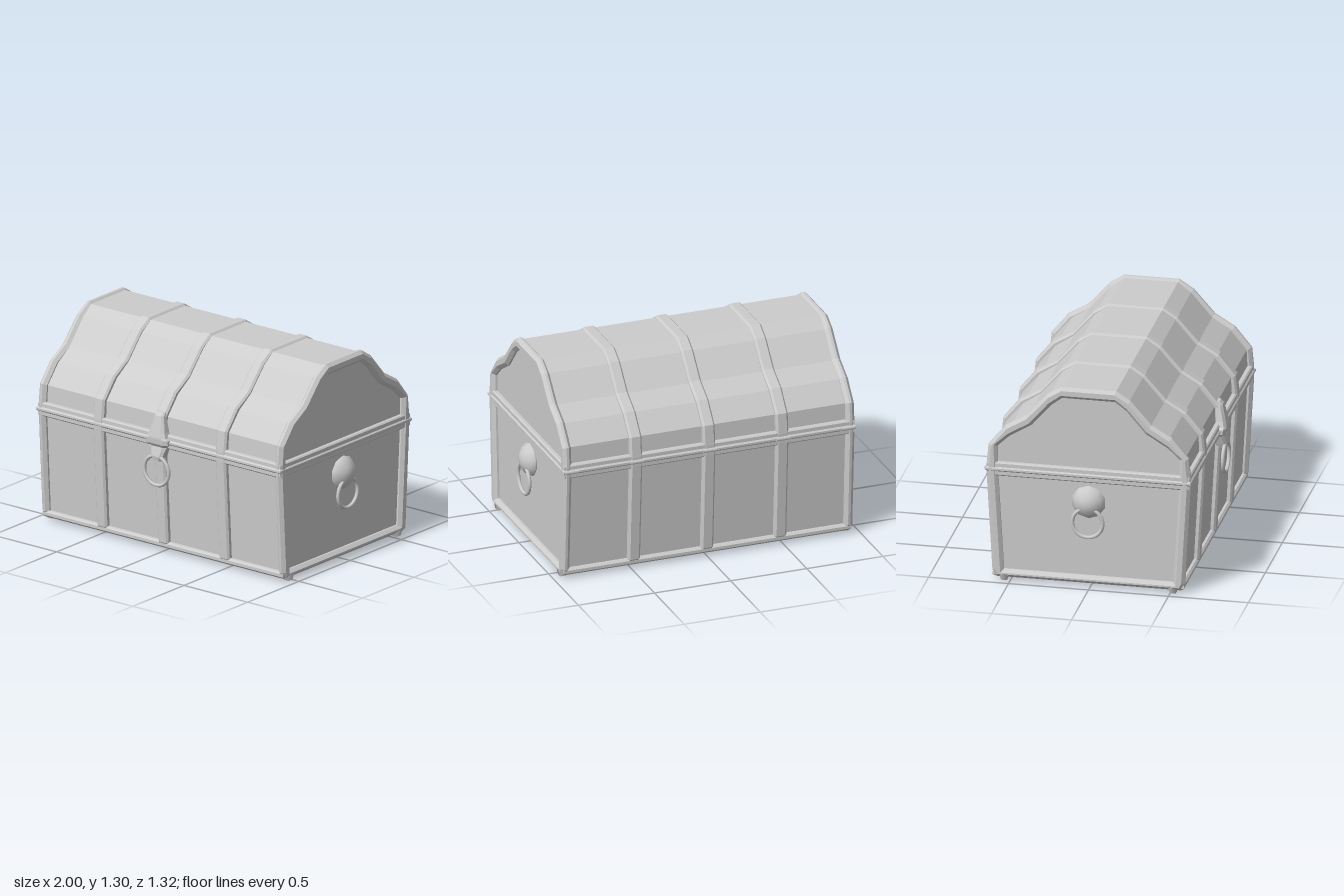
import * as THREE from 'three';

const ZC = -0.0125; // the body sits slightly behind the origin to leave room for the clasp

// Half profiles as [half depth, height], bottom to top
const BAND = [[0.58, 0.02], [0.602, 0.06], [0.638, 0.7], [0.638, 0.76], [0.625, 0.89],
  [0.52, 1.018], [0.395, 1.093], [0.262, 1.243], [0.172, 1.3]];
const OPENING = [[0.53, 0.07], [0.567, 0.7], [0.57, 0.88], [0.495, 0.95], [0.355, 1.035],
  [0.235, 1.175], [0.165, 1.228]];
const CORE = [[0.55, 0.026], [0.57, 0.06], [0.605, 0.7], [0.603, 0.78], [0.598, 0.88],
  [0.497, 1.0], [0.383, 1.077], [0.25, 1.23], [0.167, 1.288]];

const mirrorProfile = (half) => [
  ...half.map(([z, y]) => new THREE.Vector2(z, y)),
  ...half.map(([z, y]) => new THREE.Vector2(-z, y)).reverse(),
];

// Slice of the chest along x with chamfered edges
function slice(outer, width, bevel, hole) {
  const shape = new THREE.Shape(mirrorProfile(outer));
  if (hole) shape.holes.push(new THREE.Path(mirrorProfile(hole)));
  const g = new THREE.ExtrudeGeometry(shape, {
    depth: width - 2 * bevel, bevelEnabled: bevel > 0, bevelSegments: 1,
    bevelSize: bevel, bevelThickness: bevel, bevelOffset: -bevel,
  });
  g.translate(0, 0, bevel - width / 2);
  g.rotateY(Math.PI / 2);
  return g.translate(0, 0, ZC);
}

// Horizontal slab with chamfered upper and lower edges
function slab(hx, hz, y0, y1, bevel) {
  const shape = new THREE.Shape([[-hx, -hz], [hx, -hz], [hx, hz], [-hx, hz]]
    .map(([x, z]) => new THREE.Vector2(x, z)));
  const g = new THREE.ExtrudeGeometry(shape, {
    depth: y1 - y0 - 2 * bevel, bevelEnabled: true, bevelSegments: 1,
    bevelSize: bevel, bevelThickness: bevel, bevelOffset: -bevel,
  });
  g.rotateX(-Math.PI / 2);
  return g.translate(0, y0 + bevel, ZC);
}

// Clasp plate lofted from sections [height, half width, front z]
function claspGeometry() {
  const back = 0.595;
  const rows = [[0.91, 0.033, 0.612], [0.89, 0.036, 0.632], [0.79, 0.058, 0.654],
    [0.757, 0.07, 0.661], [0.745, 0.087, 0.661], [0.715, 0.087, 0.658], [0.695, 0.066, 0.644],
    [0.635, 0.045, 0.66], [0.605, 0.032, 0.655]]
    .map(([y, w, z]) => [[-w, y, back], [-w, y, z - 0.014], [-w * 0.65, y, z],
      [w * 0.65, y, z], [w, y, z - 0.014], [w, y, back]]);
  const pos = [];
  const quad = (a, b, c, d) => pos.push(...a, ...b, ...c, ...a, ...c, ...d);
  for (let i = 0; i < rows.length - 1; i++) {
    for (let j = 0; j < 6; j++) {
      const k = (j + 1) % 6;
      quad(rows[i][j], rows[i + 1][j], rows[i + 1][k], rows[i][k]);
    }
  }
  const [top, end] = [rows[0], rows[rows.length - 1]];
  for (let j = 1; j < 5; j++) {
    pos.push(...top[0], ...top[j], ...top[j + 1]);
    pos.push(...end[0], ...end[j + 1], ...end[j]);
  }
  const g = new THREE.BufferGeometry();
  g.setAttribute('position', new THREE.Float32BufferAttribute(pos, 3));
  g.computeVertexNormals();
  return g;
}

export function createModel() {
  const model = new THREE.Group();
  model.name = 'treasureChest';
  const grey = new THREE.MeshStandardMaterial({ color: 0xcccccc });
  grey.name = 'lightGrey';

  const add = (name, geometry, x = 0, y = 0, z = 0, parent = model) => {
    const mesh = new THREE.Mesh(geometry, grey);
    mesh.name = name;
    mesh.position.set(x, y, z);
    parent.add(mesh);
    return mesh;
  };

  // Recessed panels of the box and the lid
  add('panels', slice(CORE, 1.85, 0));

  // Straps over the body and open frames at both ends
  for (const x of [-0.48, 0, 0.48]) add('strap', slice(BAND, 0.08, 0.012), x);
  for (const s of [-1, 1]) add('endFrame', slice(BAND, 0.056, 0.02, OPENING), s * 0.929);

  // Rims where lid and box meet, seam bead, base rail
  add('boxRim', slab(0.952, 0.634, 0.685, 0.73, 0.008));
  add('lidRim', slab(0.952, 0.634, 0.73, 0.775, 0.008));
  add('seamBead', slab(0.96, 0.643, 0.714, 0.746, 0.01));
  add('baseRail', slab(0.945, 0.598, 0.022, 0.064, 0.012));

  // Feet
  for (const sx of [-1, 1]) {
    for (const sz of [-1, 1]) {
      const foot = new THREE.CylinderGeometry(0.036, 0.027, 0.035, 4).rotateY(Math.PI / 4);
      add('foot', foot, sx * 0.928, 0.0175, ZC + sz * 0.528);
    }
  }

  // Hinge barrels along the back
  for (const x of [-0.905, -0.48, 0, 0.48, 0.905]) {
    add('hinge', new THREE.CylinderGeometry(0.014, 0.014, 0.088, 8).rotateZ(Math.PI / 2), x, 0.73, -0.649);
  }

  // Clasp with its pull ring
  const clasp = new THREE.Group();
  clasp.name = 'clasp';
  model.add(clasp);
  add('claspPlate', claspGeometry(), 0, 0, 0, clasp);
  add('claspRing', new THREE.TorusGeometry(0.095, 0.012, 8, 32), 0, 0.54, 0.647, clasp);

  // Side handles: domed boss holding a ring
  const dome = [[0.1, 0], [0.107, 0.012], [0.086, 0.042], [0.05, 0.066], [0.02, 0.075], [0, 0.075]]
    .map(([r, h]) => new THREE.Vector2(r, h));
  for (const s of [-1, 1]) {
    const handle = new THREE.Group();
    handle.name = s > 0 ? 'leftHandle' : 'rightHandle';
    handle.position.set(s * 0.925, 0, ZC);
    handle.rotation.y = s > 0 ? 0 : Math.PI;
    model.add(handle);
    const boss = new THREE.LatheGeometry(dome, 10, Math.PI / 10).rotateZ(-Math.PI / 2);
    add('handleBoss', boss, 0, 0.555, 0, handle);
    add('handleRing', new THREE.TorusGeometry(0.095, 0.012, 8, 32).rotateY(Math.PI / 2), 0.047, 0.43, 0, handle);
  }
  return model;
}
